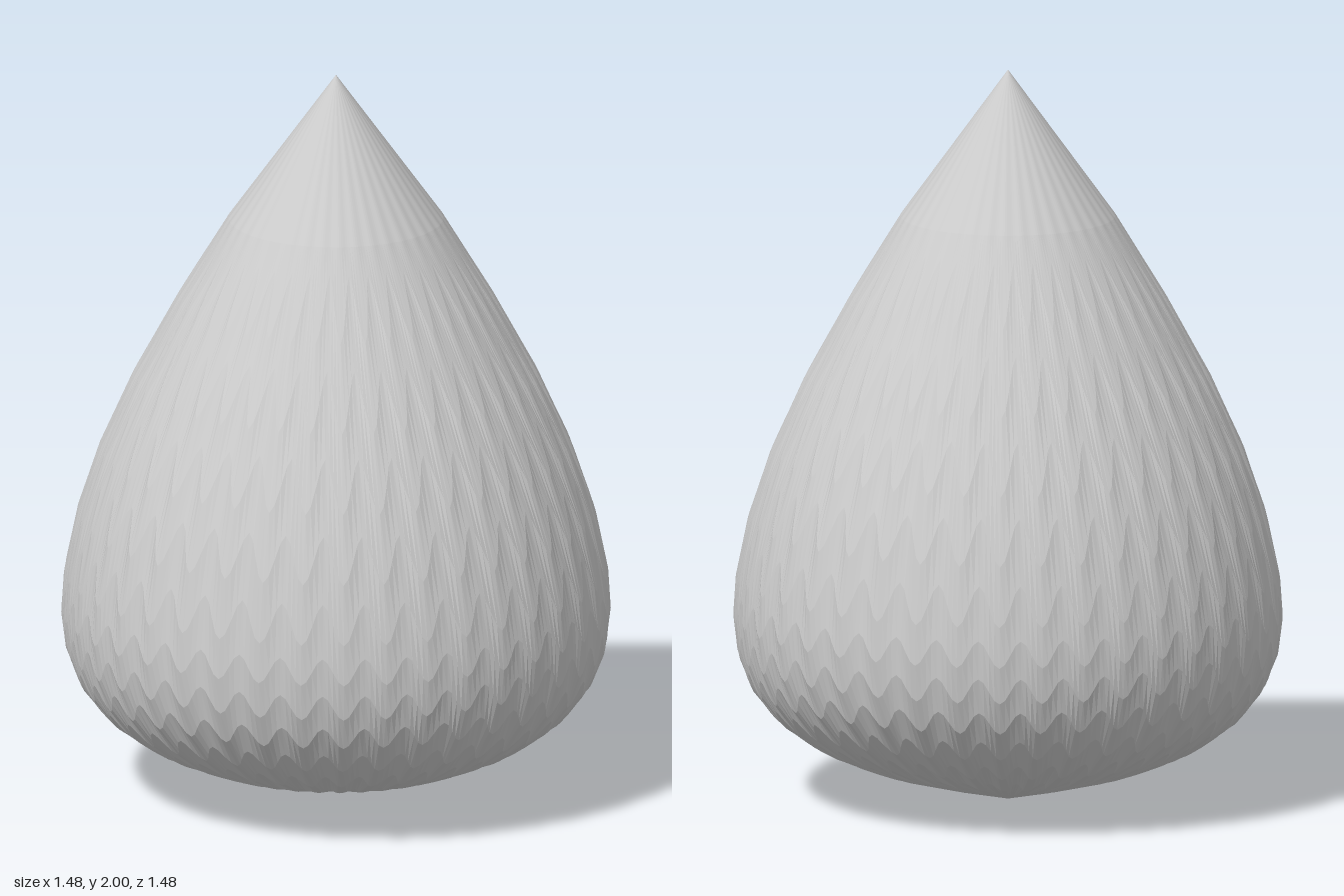
import * as THREE from 'three';

const LOBES = 40;      // ribs around the body
const STEPS = 8;       // facets across one rib
const GROOVE = 0.006;  // depth of the valley between ribs

// Teardrop outline from the bottom point to the tip: radius, height
const outline = [
  [0, 0], [0.19, 0.045], [0.36, 0.09], [0.51, 0.15], [0.62, 0.225], [0.69, 0.31],
  [0.727, 0.4], [0.74, 0.5], [0.733, 0.61], [0.7, 0.77], [0.64, 0.95],
  [0.55, 1.15], [0.43, 1.37], [0.29, 1.6], [0.15, 1.793], [0, 2],
].map(([r, y]) => new THREE.Vector2(r, y));

export function createModel() {
  const group = new THREE.Group();
  group.name = 'teardrop';

  const last = outline.length - 1;
  const curve = new THREE.SplineCurve(outline);
  const geometry = new THREE.LatheGeometry(outline, LOBES * STEPS);
  const pos = geometry.attributes.position;

  // Slide each ring up the outline between ribs, so ring edges become scallops
  for (let i = 0; i < pos.count; i++) {
    const ring = i % (last + 1);
    const step = Math.floor(i / (last + 1)) % (LOBES * STEPS);
    const angle = (step / (LOBES * STEPS)) * Math.PI * 2;
    const valley = Math.abs(Math.sin(angle * LOBES / 2)) ** 2;
    const inner = ring > 1 && ring < last - 2;
    const p = inner ? curve.getPoint((ring + 0.7 * valley) / last) : outline[ring];
    const r = Math.max(0, p.x - GROOVE * valley * (p.x / 0.74));
    pos.setXYZ(i, r * Math.sin(angle), p.y, r * Math.cos(angle));
  }
  geometry.computeVertexNormals();

  const body = new THREE.Mesh(
    geometry,
    new THREE.MeshStandardMaterial({ color: 0xcccccc, flatShading: true })
  );
  body.name = 'ribbedBody';
  group.add(body);
  return group;
}
